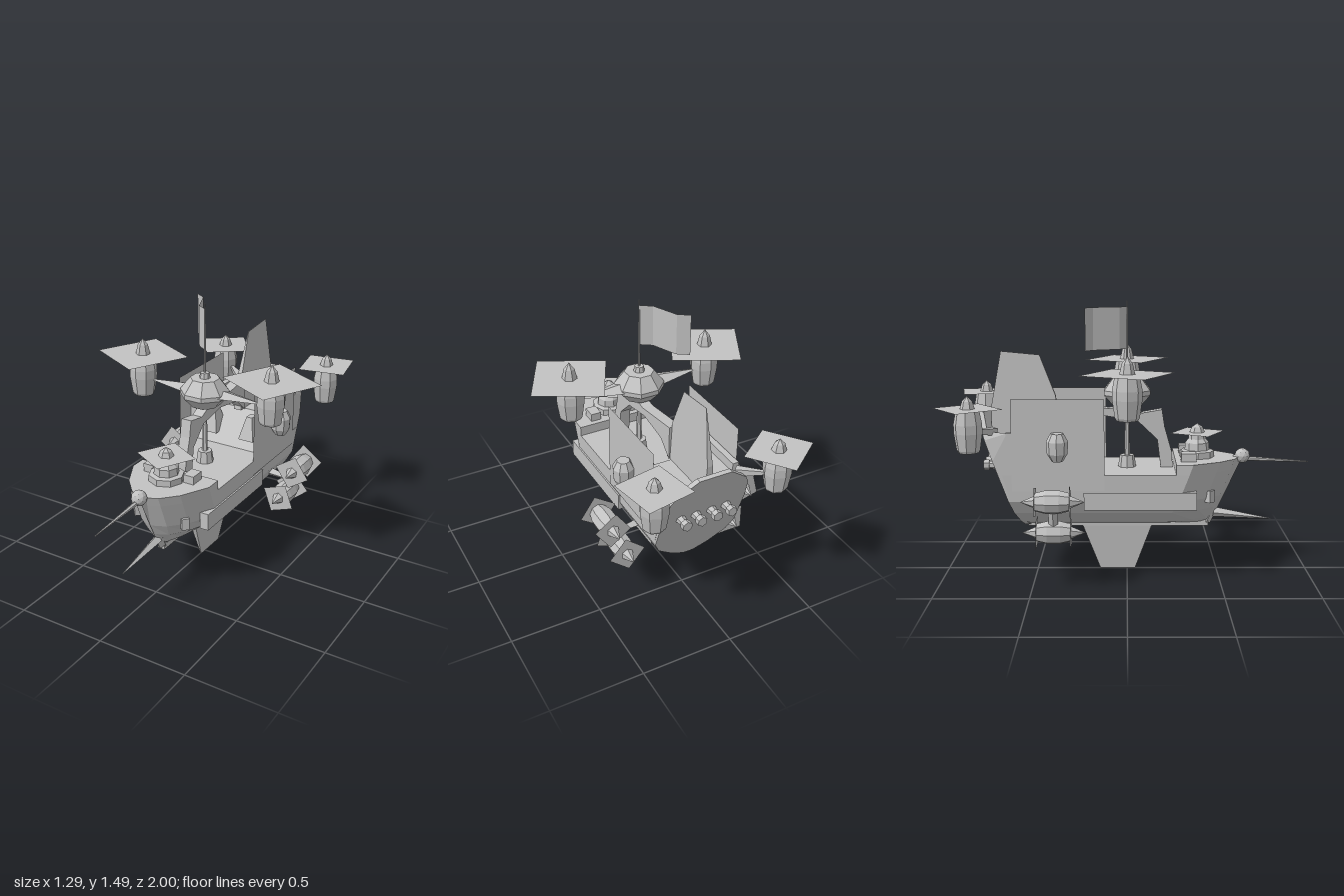
import * as THREE from 'three';

const grey = new THREE.MeshStandardMaterial({ color: 0xc2c2c2, flatShading: true, side: THREE.DoubleSide });
grey.name = 'light grey';
const V = (x, y, z) => new THREE.Vector3(x, y, z);

function add(parent, name, geo, x = 0, y = 0, z = 0) {
  const m = new THREE.Mesh(geo, grey);
  m.name = name;
  m.position.set(x, y, z);
  parent.add(m);
  return m;
}
const box = (g, name, w, h, d, x, y, z) => add(g, name, new THREE.BoxGeometry(w, h, d), x, y, z);
const lathe = (pts, n) => new THREE.LatheGeometry(pts.map(p => new THREE.Vector2(p[0], p[1])), n);

function mesh(points, idx) {
  const geo = new THREE.BufferGeometry();
  geo.setAttribute('position', new THREE.Float32BufferAttribute(points.flat(), 3));
  geo.setIndex(idx);
  geo.computeVertexNormals();
  return geo;
}

// Tapered bar between two points
function bar(g, name, a, b, r0, r1, sides = 4) {
  const d = b.clone().sub(a);
  const m = add(g, name, new THREE.CylinderGeometry(r1, r0, d.length(), sides));
  m.position.copy(a).addScaledVector(d, 0.5);
  m.quaternion.setFromUnitVectors(V(0, 1, 0), d.normalize());
  return m;
}

// Outline in (z, y), extruded across x; taper(y) scales the thickness
function sidePanel(g, name, pts, width, x = 0, taper = () => 1) {
  const shape = new THREE.Shape(pts.map(p => new THREE.Vector2(-p[0], p[1])));
  const geo = new THREE.ExtrudeGeometry(shape, { depth: width, bevelEnabled: false });
  geo.translate(0, 0, -width / 2).rotateY(Math.PI / 2);
  const p = geo.attributes.position;
  for (let i = 0; i < p.count; i++) p.setX(i, p.getX(i) * taper(p.getY(i)));
  return add(g, name, geo, x);
}

// Square rotor plate, flat on y
function rotor(g, size, y, angle) {
  const geo = new THREE.PlaneGeometry(size, size).rotateX(-Math.PI / 2).rotateY(angle);
  return add(g, 'rotorPlate', geo, 0, y, 0);
}

// Upright barrel engine with rotor and spinner
function engine(g, name, x, y, z, r, h, tip, size, angle) {
  const e = new THREE.Group();
  e.name = name;
  e.position.set(x, y, z);
  add(e, 'barrel', lathe([[0, 0], [r * 0.72, 0], [r * 0.82, h * 0.06], [r, h * 0.45], [r, h * 0.65], [r * 0.8, h], [0, h]], 8));
  rotor(e, size, h, angle);
  add(e, 'spinner', lathe([[r * 0.52, h], [r * 0.36, h + tip * 0.6], [0, h + tip]], 6));
  g.add(e);
}

// Closed loft through plan outlines stacked in y: [y, halfWidth, bowZ, sternZ]
function hullLoft(levels) {
  const rings = levels.map(([y, w, zb, zs]) => {
    const half = [[0, zb], [0.34 * w, zb - 0.035], [0.67 * w, zb - 0.12], [w, zb - 0.27], [w, zs]];
    const left = half.slice(1).reverse().map(([x, z]) => [-x, z]);
    return [...half, ...left].map(([x, z]) => [x, y, z]);
  });
  const n = rings[0].length, idx = [];
  for (let i = 0; i < rings.length - 1; i++)
    for (let j = 0; j < n; j++) {
      const a = i * n + j, b = i * n + (j + 1) % n;
      idx.push(a, b, a + n, b, b + n, a + n);
    }
  const top = (rings.length - 1) * n;
  for (let j = 1; j < n - 1; j++) idx.push(0, j + 1, j, top, top + j, top + j + 1);
  return mesh(rings.flat(), idx);
}

export function createModel() {
  const g = new THREE.Group();
  g.name = 'flyingShip';
  g.position.x = 0.005;

  // Hull, keel and foredeck
  add(g, 'hull', hullLoft([[0.27, 0.03, 0.45, -0.56], [0.3, 0.11, 0.47, -0.57], [0.37, 0.2, 0.51, -0.595],
    [0.44, 0.235, 0.545, -0.62], [0.585, 0.238, 0.6, -0.66]]));
  box(g, 'keelBeam', 0.04, 0.04, 1.0, 0, 0.27, -0.05);
  add(g, 'foredeck', hullLoft([[0.585, 0.238, 0.6, 0.26], [0.64, 0.238, 0.62, 0.26]]));
  bar(g, 'stem', V(0, 0.27, 0.44), V(0, 0.64, 0.61), 0.025, 0.025);

  // Quarterdeck with a sloping front
  sidePanel(g, 'quarterdeck', [[-0.225, 0.58], [-0.4, 0.76], [-0.735, 0.76], [-0.665, 0.58]], 0.4);

  // Sloping transom, sheared to follow the stern
  const half = [[0.03, 0.26], [0.11, 0.3], [0.2, 0.37], [0.235, 0.44], [0.235, 0.66], [0.22, 0.77], [0.195, 0.815], [0.09, 0.9]];
  const outline = [...half, ...half.slice().reverse().map(([x, y]) => [-x, y])];
  const transom = new THREE.ExtrudeGeometry(new THREE.Shape(outline.map(p => new THREE.Vector2(...p))), { depth: 0.03, bevelEnabled: false });
  const tp = transom.attributes.position;
  for (let i = 0; i < tp.count; i++) tp.setZ(i, tp.getZ(i) - 0.56 - (tp.getY(i) - 0.25) * 0.37);
  add(g, 'transom', transom);
  for (const x of [-0.13, -0.045, 0.045, 0.13]) {
    bar(g, 'sternCannon', V(x, 0.62, -0.66), V(x, 0.62, -0.75), 0.032, 0.018, 6);
    bar(g, 'cannonMuzzle', V(x, 0.62, -0.74), V(x, 0.62, -0.77), 0.028, 0.028, 6);
  }

  // Central spine arch, tail fin and keel fin
  sidePanel(g, 'spineArch', [[0.25, 0.58], [0.245, 0.67], [0.205, 0.81], [0.19, 0.905], [0.08, 0.885], [0, 0.925], [-0.1, 0.91],
    [-0.39, 0.95], [-0.39, 0.76], [-0.3, 0.84], [-0.115, 0.87], [0.06, 0.84], [0.165, 0.74], [0.185, 0.58]], 0.06);
  sidePanel(g, 'tailFin', [[-0.36, 0.76], [-0.39, 0.98], [-0.475, 1.2], [-0.685, 1.22], [-0.74, 0.92], [-0.74, 0.76]], 0.05, 0,
    y => (1.23 - y) * 2);
  sidePanel(g, 'keelFin', [[0.14, 0.26], [0.045, 0], [-0.15, 0], [-0.25, 0.26]], 0.04, 0, y => 0.1 + y * 3.2);

  // Bow spars
  add(g, 'bowBall', new THREE.IcosahedronGeometry(0.042, 1), 0, 0.645, 0.635);
  bar(g, 'upperBowSpar', V(0, 0.63, 0.62), V(0, 0.61, 1), 0.014, 0.003, 6);
  bar(g, 'lowerBowSpar', V(0, 0.325, 0.48), V(0, 0.285, 0.8), 0.028, 0.002);

  // Mast, hub and flag
  add(g, 'mastBase', lathe([[0.05, 0.58], [0.04, 0.65], [0, 0.65]], 8));
  bar(g, 'lowerMast', V(0, 0.64, 0), V(0, 0.93, 0), 0.016, 0.01, 6);
  bar(g, 'upperMast', V(0, 1.1, 0), V(0, 1.49, 0), 0.007, 0.003, 6);
  add(g, 'liftHub', lathe([[0, 0.925], [0.08, 0.925], [0.135, 0.985], [0.135, 1.01], [0.08, 1.08], [0.03, 1.08], [0.025, 1.11], [0, 1.11]], 8).rotateY(Math.PI / 8));
  const flag = new THREE.PlaneGeometry(1, 0.225, 4, 1);
  const fp = flag.attributes.position;
  for (let i = 0; i < fp.count; i++) {
    const t = fp.getX(i) + 0.5, wave = 0.015 * Math.sin(t * Math.PI * 2);
    fp.setX(i, -0.18 * t - wave);
    fp.setZ(i, -0.22 * t + wave);
  }
  add(g, 'flag', flag, 0, 1.347, 0);

  // Stepped foredeck engine
  const bow = new THREE.Group();
  bow.name = 'bowEngine';
  bow.position.set(0, 0.64, 0.385);
  add(bow, 'steppedBase', lathe([[0.095, 0], [0.095, 0.035], [0.068, 0.04], [0.065, 0.08], [0.048, 0.1], [0.045, 0.135], [0, 0.135]], 8));
  rotor(bow, 0.225, 0.136, -0.49);
  add(bow, 'spinner', lathe([[0.042, 0.135], [0.03, 0.165], [0, 0.185]], 6));
  g.add(bow);

  const sternTurn = { '-1': -0.93, '1': 0.18 };
  for (const s of [-1, 1]) {
    // Large lift engines and stern engines
    engine(g, 'liftEngine', s * 0.4, 0.905, 0, 0.077, 0.235, 0.09, 0.365, -0.47);
    const arm = bar(g, 'liftArm', V(s * 0.11, 1, 0), V(s * 0.34, 1, 0), 0.05, 0.006);
    arm.scale.set(0.5, 1, 1.3);
    engine(g, 'sternEngine', s * 0.344, 0.73, -0.815, 0.074, 0.227, 0.065, 0.265, sternTurn[s]);
    bar(g, 'sternStrut', V(s * 0.18, 0.81, -0.7), V(s * 0.3, 0.83, -0.81), 0.03, 0.01);

    // Side plates, pods, rails and the stern corners
    add(g, 'sidePlate', new THREE.PlaneGeometry(0.49, 0.49).rotateY(s * Math.PI / 2), s * 0.24, 0.745, -0.365);
    add(g, 'sidePod', lathe([[0, -0.075], [0.03, -0.075], [0.054, -0.035], [0.058, 0.03], [0.035, 0.072], [0, 0.072]], 8), s * 0.28, 0.745, -0.365);
    sidePanel(g, 'sternRail', [[-0.23, 0.58], [-0.23, 0.81], [-0.64, 0.81], [-0.64, 0.58]], 0.035, s * 0.217);
    const corner = [[0.235, 0.44, -0.6], [0.235, 0.81, -0.63], [0.195, 0.815, -0.76], [0.22, 0.77, -0.75], [0.235, 0.66, -0.71], [0.235, 0.44, -0.63]];
    add(g, 'sternCorner', mesh(corner.map(([x, y, z]) => [s * x, y, z]), [0, 1, 4, 0, 4, 5, 1, 2, 3, 1, 3, 4]));
    box(g, 'sideStrake', 0.05, 0.095, 0.6, s * 0.22, 0.443, 0.07);
    const port = box(g, 'bowPort', 0.04, 0.065, 0.04, s * 0.148, 0.45, 0.445);
    port.rotation.y = s * 0.8;
    box(g, 'foredeckLocker', 0.06, 0.05, 0.08, s * 0.125, 0.66, 0.33);
    const turret = add(g, 'deckTurret', new THREE.CylinderGeometry(0.025, 0.066, 0.13, 4).rotateY(Math.PI / 4), s * 0.12, 0.7, -0.31);
    turret.scale.z = 1.4;

    // Paired side thrusters, pointed at both ends
    for (const [x, y, a] of [[0.395, 0.48, 0.6], [0.315, 0.295, 0.35]]) {
      const t = new THREE.Group();
      t.name = 'sideThruster';
      t.position.set(s * x, y, -0.385);
      t.rotation.x = Math.PI / 2;
      add(t, 'barrel', lathe([[0, -0.09], [0.048, -0.09], [0.062, -0.035], [0.062, 0.035], [0.048, 0.09], [0, 0.09]], 8));
      for (const e of [-1, 1]) {
        rotor(t, 0.145, e * 0.09, s * a + (e < 0 ? 0.35 : 0));
        bar(t, 'spinner', V(0, e * 0.09, 0), V(0, e * 0.165, 0), 0.034, 0.001, 6);
      }
      g.add(t);
    }
    bar(g, 'thrusterLink', V(s * 0.315, 0.3, -0.385), V(s * 0.395, 0.48, -0.385), 0.025, 0.025);
    bar(g, 'thrusterWing', V(s * 0.18, 0.41, -0.385), V(s * 0.35, 0.39, -0.385), 0.03, 0.012);
  }
  return g;
}
